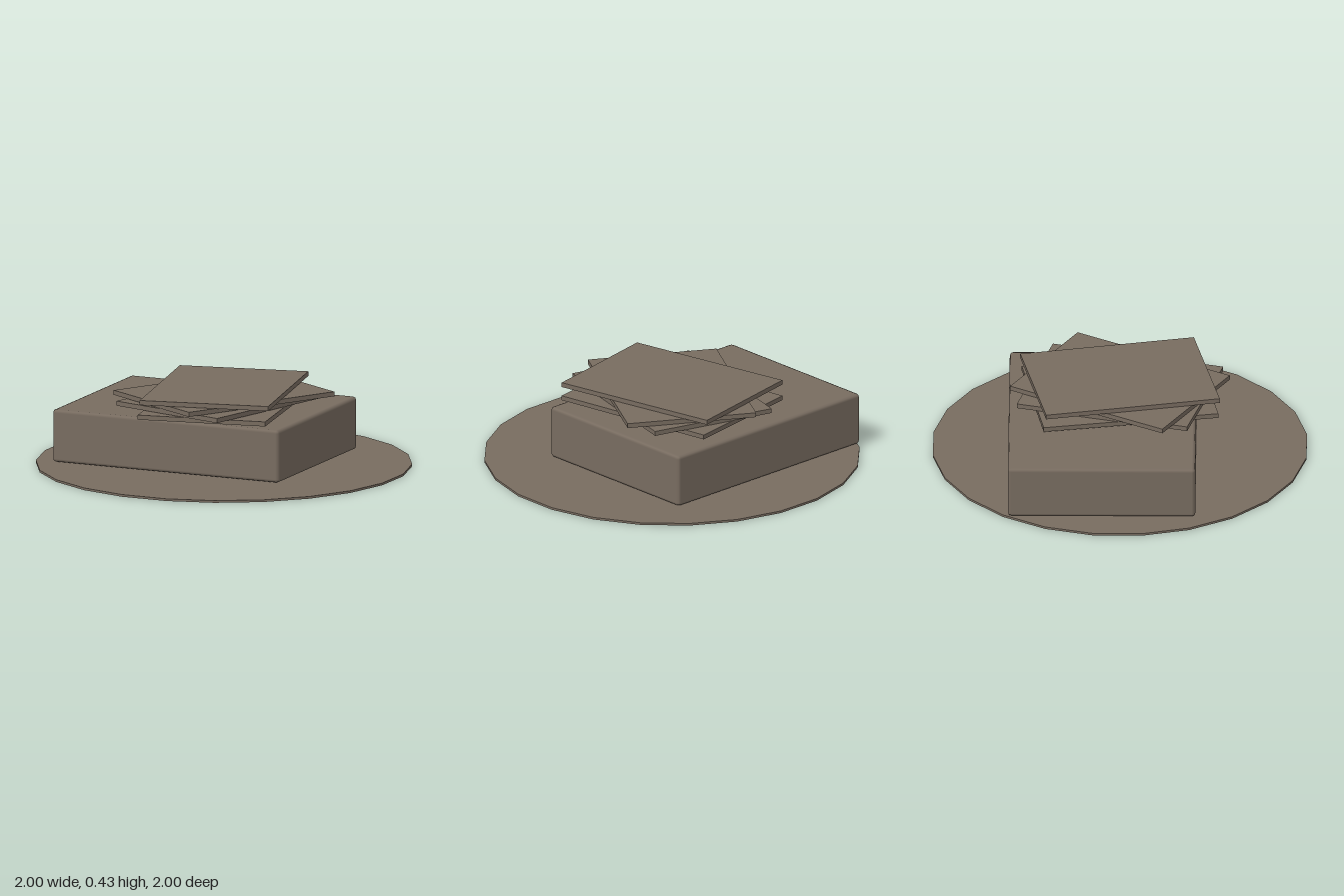
import * as THREE from 'three';
import { RoundedBoxGeometry } from 'three/addons/geometries/RoundedBoxGeometry.js';

export function createModel() {
  const group = new THREE.Group();
  const stone = new THREE.MeshStandardMaterial({ color: 0x786c60 });
  stone.name = 'warm stone';

  const add = (name, geometry, x, y, z, turn = 0) => {
    const mesh = new THREE.Mesh(geometry, stone);
    mesh.name = name;
    mesh.position.set(x, y, z);
    mesh.rotation.y = turn;
    group.add(mesh);
  };

  // Thin 24-sided ground disc
  add('baseDisc', new THREE.CylinderGeometry(1, 1, 0.012, 24), 0, 0.006, 0);

  // Bevelled block, turned and set off centre
  add('block', new RoundedBoxGeometry(1.325, 0.285, 0.995, 1, 0.018), -0.167, 0.16, -0.069, 0.139);

  // Loose stack of thin slabs, each with its own turn
  const slab = new THREE.BoxGeometry(0.7, 0.025, 0.94);
  [0.315, -0.13, -0.39, 0.345].forEach((turn, i) => {
    add(`slab${i + 1}`, slab, 0, 0.331 + i * 0.0273, 0, turn);
  });

  return group;
}
